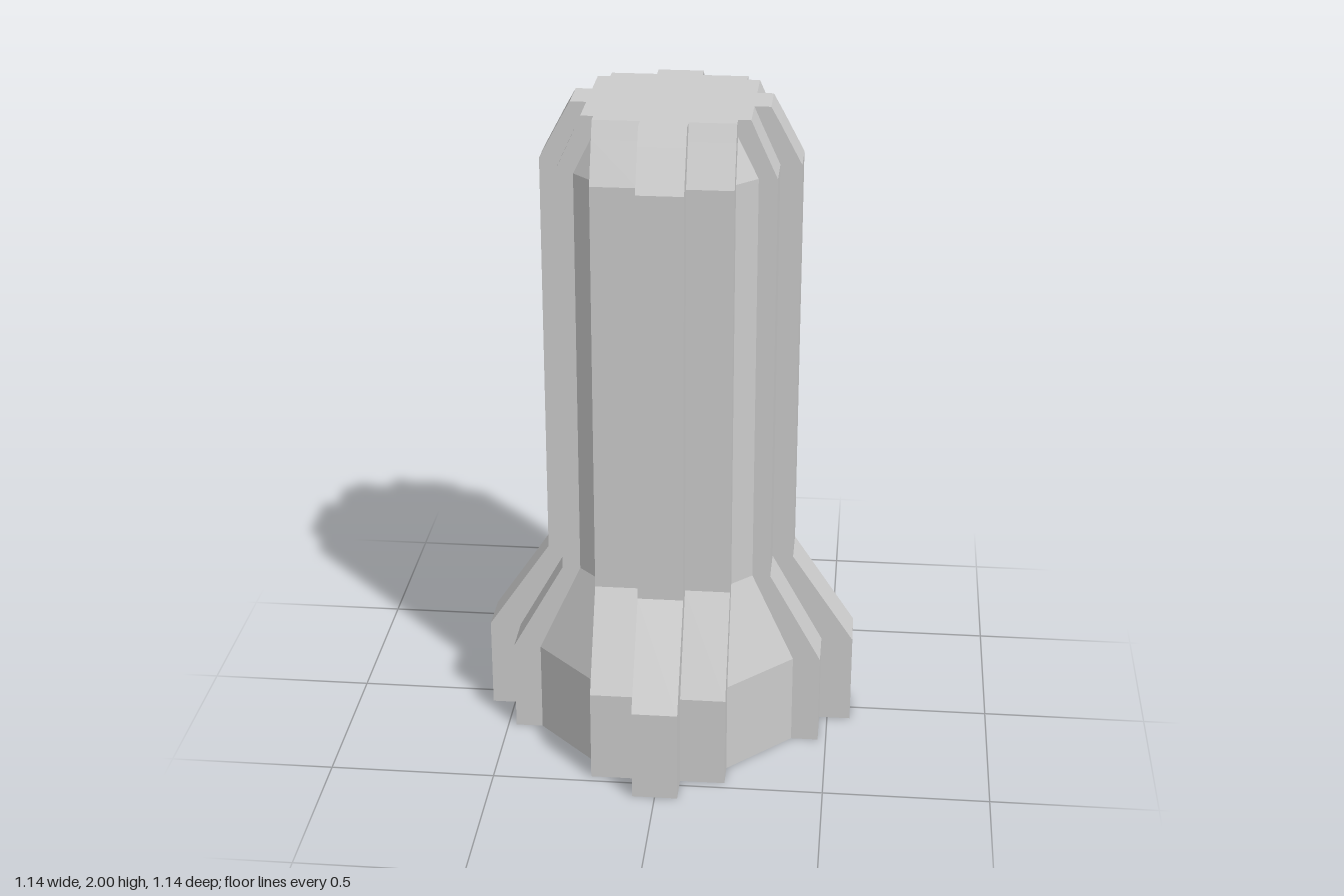
import * as THREE from 'three';

const W1 = 0.068, W2 = 0.203; // half widths of the middle rib and of the rib group

// Each level: height, middle rib reach, side rib reach, diagonal corner reach
const LEVELS = [
  [0, 0.571, 0.475, 0.392],
  [0.286, 0.571, 0.475, 0.392],
  [0.57, 0.38, 0.317, 0.263],
  [1.83, 0.38, 0.317, 0.263],
  [1.95, 0.316, 0.262, W2],
  [2, 0.288, 0.24, W2],
];

// One quarter of the stepped outline, repeated four times around the axis
function section([y, mid, side, diag]) {
  const quarter = [[mid, W1], [side, W1], [side, W2], [diag, W2], [W2, diag], [W2, side], [W1, side], [W1, mid]];
  const points = [];
  let q = quarter;
  for (let i = 0; i < 4; i++) {
    for (const [x, z] of q) points.push(new THREE.Vector3(x, y, z));
    q = q.map(([x, z]) => [-z, x]);
  }
  return points;
}

export function createModel() {
  const group = new THREE.Group();
  group.name = 'ribbedPost';
  const material = new THREE.MeshStandardMaterial({ color: 0xcccccc, flatShading: true, side: THREE.DoubleSide });
  const rings = LEVELS.map(section);

  // Ribbed wall, open at the bottom
  const corners = [];
  const addTriangle = (a, b, c) => {
    if (new THREE.Triangle(a, b, c).getArea() > 1e-7) corners.push(a, b, c);
  };
  for (let k = 0; k < rings.length - 1; k++) {
    const low = rings[k], high = rings[k + 1];
    for (let i = 0; i < low.length; i++) {
      const j = (i + 1) % low.length;
      addTriangle(low[i], high[i], high[j]);
      addTriangle(low[i], high[j], low[j]);
    }
  }
  const wallGeometry = new THREE.BufferGeometry().setFromPoints(corners);
  wallGeometry.computeVertexNormals();
  const wall = new THREE.Mesh(wallGeometry, material);
  wall.name = 'ribbedWall';

  // Flat top cap
  const top = rings[rings.length - 1];
  const outline = top
    .filter((p, i) => p.distanceTo(top[(i + 1) % top.length]) > 1e-6)
    .map((p) => new THREE.Vector2(p.x, -p.z));
  const capGeometry = new THREE.ShapeGeometry(new THREE.Shape(outline));
  capGeometry.rotateX(-Math.PI / 2);
  const cap = new THREE.Mesh(capGeometry, material);
  cap.name = 'topCap';
  cap.position.y = 2;

  group.add(wall, cap);
  return group;
}
